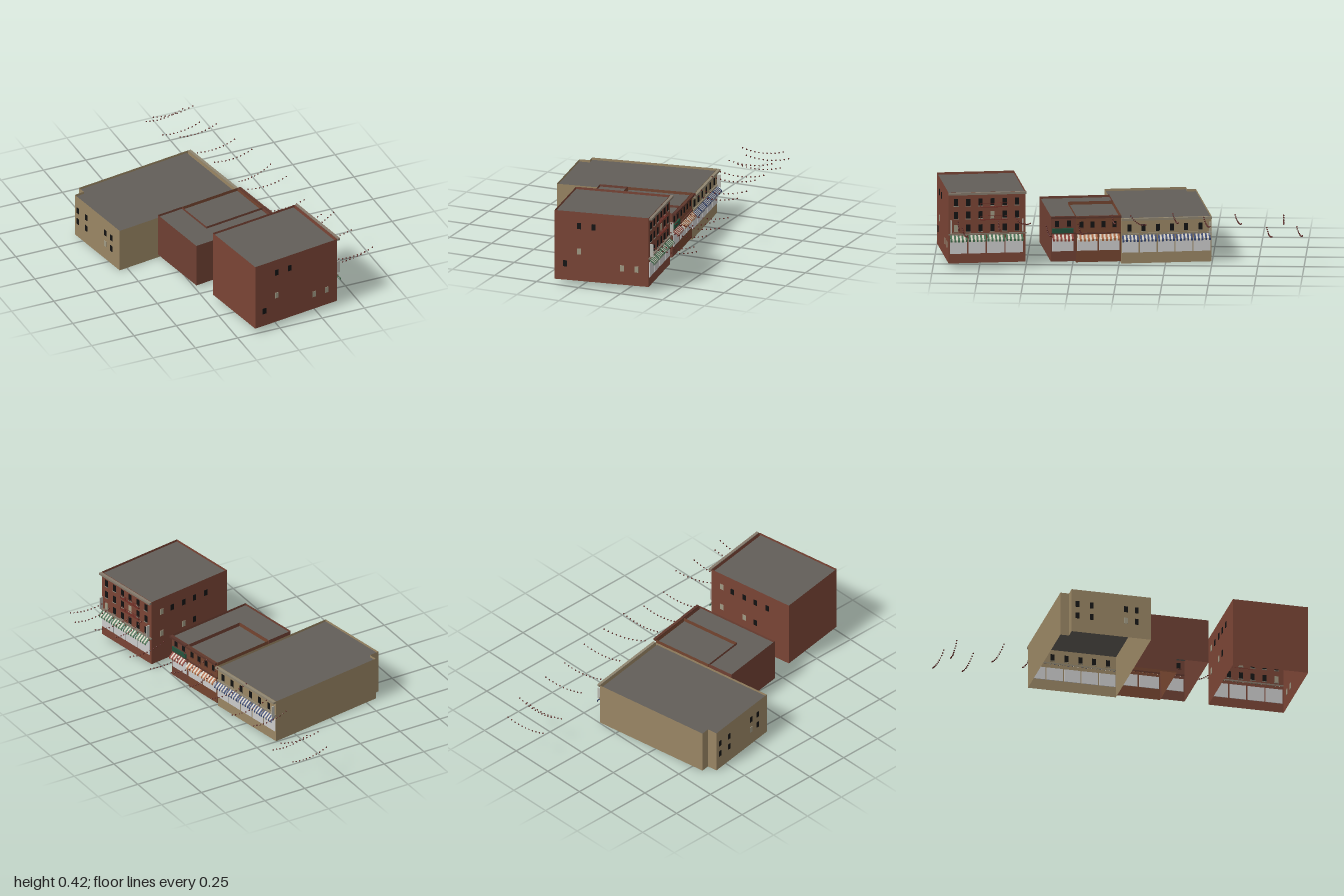
import * as THREE from 'three';

const mats = {};
function mat(color) {
  return (mats[color] ??= new THREE.MeshStandardMaterial({ color, side: THREE.DoubleSide }));
}
function add(parent, name, geometry, color) {
  const mesh = new THREE.Mesh(geometry, mat(color));
  mesh.name = name;
  parent.add(mesh);
  return mesh;
}
function box(parent, name, size, pos, color) {
  const mesh = add(parent, name, new THREE.BoxGeometry(...size), color);
  mesh.position.set(...pos);
  return mesh;
}

// Open ring of upright walls around a footprint of [x, z] corners
function walls(parent, name, pts, y0, y1, color) {
  const v = [];
  pts.forEach(([ax, az], i) => {
    const [bx, bz] = pts[(i + 1) % pts.length];
    v.push(ax, y0, az, bx, y0, bz, bx, y1, bz, ax, y0, az, bx, y1, bz, ax, y1, az);
  });
  const g = new THREE.BufferGeometry();
  g.setAttribute('position', new THREE.Float32BufferAttribute(v, 3));
  g.computeVertexNormals();
  add(parent, name, g, color);
}

// Flat roof lying just below the parapet
function roof(parent, pts, y) {
  const shape = new THREE.Shape(pts.map(([x, z]) => new THREE.Vector2(x, -z)));
  const mesh = add(parent, 'roof', new THREE.ShapeGeometry(shape), 0x625e58);
  mesh.rotation.x = -Math.PI / 2;
  mesh.position.y = y;
}

const DARK = 0x121212, LIT = 0xa09a84, PANEL = 0xc4c4c4;

// Sloped awning of alternating slats with a short hanging valance
function awning(parent, x, y, z, width, depth, color) {
  const g = new THREE.Group();
  g.name = 'awning';
  const n = Math.round(width / 0.0105), w = width / n, drop = 0.022;
  for (let i = 0; i < n; i++) {
    const c = i % 2 ? 0xd0cabc : color;
    const zi = z - width / 2 + (i + 0.5) * w;
    const slat = box(g, 'awningSlat', [Math.hypot(depth, drop), 0.002, w], [x + depth / 2, y - drop / 2, zi], c);
    slat.rotation.z = -Math.atan2(drop, depth);
    box(g, 'valance', [0.002, 0.01, w], [x + depth, y - drop - 0.005, zi], c);
  }
  parent.add(g);
}

// Street front: windows, shop panels with awnings, cornice
function streetFront(parent, f) {
  f.rows.forEach((y, r) => f.windows.forEach((z, i) => {
    const lit = (i * 3 + r * 2) % 7 === 4;
    box(parent, 'window', [0.005, f.winH, 0.022], [f.x, y, z], lit ? LIT : DARK);
    box(parent, 'windowSill', [0.01, 0.004, 0.028], [f.x, y - f.winH / 2 - 0.002, z], f.trim);
  }));
  for (const z of f.shops) {
    const [y0, y1] = f.shopY;
    box(parent, 'shopPanel', [0.008, y1 - y0, f.shopW], [f.x, (y0 + y1) / 2, z], PANEL);
    awning(parent, f.x, f.awningY, z, f.shopW, 0.027, f.awning);
  }
  const len = f.z1 - f.z0, mid = (f.z0 + f.z1) / 2;
  box(parent, 'cornice', [0.016, 0.012, len], [f.x + 0.011, f.top - 0.006, mid], f.trim);
  box(parent, 'shopLedge', [0.008, 0.008, len], [f.x + 0.003, f.awningY + 0.007, mid], f.trim);
}

function bladeSign(parent, x, y, z) {
  box(parent, 'bladeSign', [0.02, 0.07, 0.005], [x + 0.014, y, z], 0xb8b8b0);
}

export function createModel() {
  const model = new THREE.Group();
  model.name = 'streetBlock';

  // Street frame: local z runs along the street, +x faces it
  const street = new THREE.Group();
  street.name = 'buildings';
  street.rotation.y = 0.157;
  model.add(street);
  const building = (name) => {
    const g = new THREE.Group();
    g.name = name;
    street.add(g);
    return g;
  };
  const series = (start, step, n) => Array.from({ length: n }, (_, i) => start + step * i);

  // Long tan building with a notched rear corner
  const tan = building('tanBuilding');
  const tanPlan = (x) => [[x, -0.47], [x, 0.02], [-0.556, 0.02], [-0.556, -0.422], [-0.498, -0.422], [-0.498, -0.47]];
  walls(tan, 'walls', tanPlan(0.203), 0, 0.25, 0x9a8664);
  roof(tan, tanPlan(0.196), 0.237);
  streetFront(tan, {
    x: 0.203, z0: -0.47, z1: 0.02, top: 0.25, rows: [0.195], windows: series(-0.024, -0.077, 6), winH: 0.038,
    shops: series(-0.028, -0.0975, 5), shopW: 0.09, shopY: [0.06, 0.132], awningY: 0.155, awning: 0x35456f, trim: 0x8f8570,
  });
  for (const y of [0.165, 0.097]) for (const z of [-0.39, -0.31, -0.12, -0.06])
    box(tan, 'rearWindow', [0.005, 0.034, 0.02], [-0.556, y, z], z === -0.12 && y < 0.1 ? LIT : DARK);
  bladeSign(tan, 0.203, 0.185, -0.46);

  // Low brick building wrapping round the small shop
  const low = building('lowBrickBuilding');
  const lowPlan = (x) => [[x, 0.266], [x, 0.403], [-0.312, 0.403], [-0.312, 0.023], [-0.158, 0.023], [-0.158, 0.266]];
  walls(low, 'walls', lowPlan(0.203), 0.02, 0.27, 0x6f4033);
  roof(low, lowPlan(0.196), 0.257);
  streetFront(low, {
    x: 0.203, z0: 0.268, z1: 0.403, top: 0.27, rows: [0.228], windows: [0.305, 0.37], winH: 0.032,
    shops: [0.338], shopW: 0.115, shopY: [0.077, 0.15], awningY: 0.168, awning: 0x8a3a30, trim: 0x5a332a,
  });
  box(low, 'shopSign', [0.008, 0.026, 0.115], [0.208, 0.19, 0.338], 0x23523c);

  // Small shop
  const shop = building('smallShop');
  const shopPlan = (i) => [[0.203 - i, 0.022 + i], [0.203 - i, 0.266 - i], [-0.156 + i, 0.266 - i], [-0.156 + i, 0.022 + i]];
  walls(shop, 'walls', shopPlan(0), 0.013, 0.268, 0x74442f);
  roof(shop, shopPlan(0.007), 0.255);
  streetFront(shop, {
    x: 0.203, z0: 0.022, z1: 0.266, top: 0.268, rows: [0.22], windows: series(0.237, -0.06, 4), winH: 0.032,
    shops: [0.205, 0.085], shopW: 0.11, shopY: [0.077, 0.147], awningY: 0.165, awning: 0xa8623a, trim: 0x5f372b,
  });

  // Tall brick building
  const tall = building('tallBrickBuilding');
  const tallPlan = (x) => [[x, 0.543], [x, 0.962], [-0.298, 0.962], [-0.298, 0.543]];
  walls(tall, 'walls', tallPlan(0.23), 0.03, 0.42, 0x7a4435);
  roof(tall, tallPlan(0.222), 0.407);
  streetFront(tall, {
    x: 0.23, z0: 0.54, z1: 0.962, top: 0.42, rows: [0.365, 0.295, 0.223], windows: series(0.921, -0.066, 6), winH: 0.038,
    shops: series(0.908, -0.101, 4), shopW: 0.093, shopY: [0.083, 0.165], awningY: 0.183, awning: 0x3f6b4c, trim: 0x857a6c,
  });
  const sideWindows = [[-0.16, 0.341], [-0.078, 0.341], [-0.24, 0.123], [-0.16, 0.197, 1], [0.08, 0.123, 1], [0.161, 0.123, 1]];
  for (const [x, y, lit] of sideWindows)
    box(tall, 'sideWindow', [0.022, 0.034, 0.005], [x, y, 0.962], lit ? LIT : DARK);
  const farWindows = [[0.16, 0.335, 1], [0.087, 0.335], [0.006, 0.335], [-0.07, 0.335], [-0.15, 0.335], [0.16, 0.2, 1], [0.006, 0.2, 1], [-0.07, 0.2]];
  for (const [x, y, lit] of farWindows)
    box(tall, 'sideWindow', [0.022, 0.034, 0.005], [x, y, 0.543], lit ? LIT : DARK);
  bladeSign(tall, 0.23, 0.235, 0.95);
  bladeSign(tall, 0.23, 0.235, 0.56);

  // Slim iron balconies
  for (const y of [0.268, 0.338]) {
    box(tall, 'balconyFloor', [0.014, 0.003, 0.15], [0.237, y, 0.715], 0x6b2c24);
    box(tall, 'balconyRail', [0.002, 0.002, 0.15], [0.243, y + 0.022, 0.715], 0x6b2c24);
    for (const z of series(0.641, 0.037, 5))
      box(tall, 'balconyPost', [0.002, 0.022, 0.002], [0.243, y + 0.011, z], 0x6b2c24);
  }

  // Drooping light strings across the street: x0, z0, x1, z1, y0, y1
  const strings = [
    [0.087, -0.955, 0.32, -0.994, 0.185, 0.185], [0.098, -0.884, 0.335, -0.894, 0.25, 0.255],
    [0.113, -0.794, 0.346, -0.83, 0.185, 0.185], [0.14, -0.624, 0.372, -0.667, 0.26, 0.26],
    [0.166, -0.455, 0.404, -0.497, 0.25, 0.25], [0.193, -0.29, 0.43, -0.328, 0.275, 0.275],
    [0.235, -0.063, 0.462, -0.153, 0.27, 0.27], [0.245, 0.037, 0.483, 0.01, 0.275, 0.28],
    [0.277, 0.217, 0.509, 0.185, 0.23, 0.225], [0.303, 0.39, 0.535, 0.354, 0.225, 0.22],
    [0.346, 0.556, 0.557, 0.466, 0.28, 0.293], [0.361, 0.646, 0.588, 0.63, 0.265, 0.265],
    [0.377, 0.84, 0.61, 0.804, 0.225, 0.23], [0.388, 0.862, 0.615, 0.847, 0.26, 0.27],
  ];
  const bulb = new THREE.IcosahedronGeometry(0.0045, 0);
  for (const [x0, z0, x1, z1, y0, y1] of strings) {
    const g = new THREE.Group();
    g.name = 'lightString';
    for (let i = 0; i <= 10; i++) {
      const t = i / 10, sag = 0.018 * 4 * t * (1 - t);
      add(g, 'bulb', bulb, 0x5a2420)
        .position.set(x0 + (x1 - x0) * t, y0 + (y1 - y0) * t - sag, z0 + (z1 - z0) * t);
    }
    model.add(g);
  }
  return model;
}
